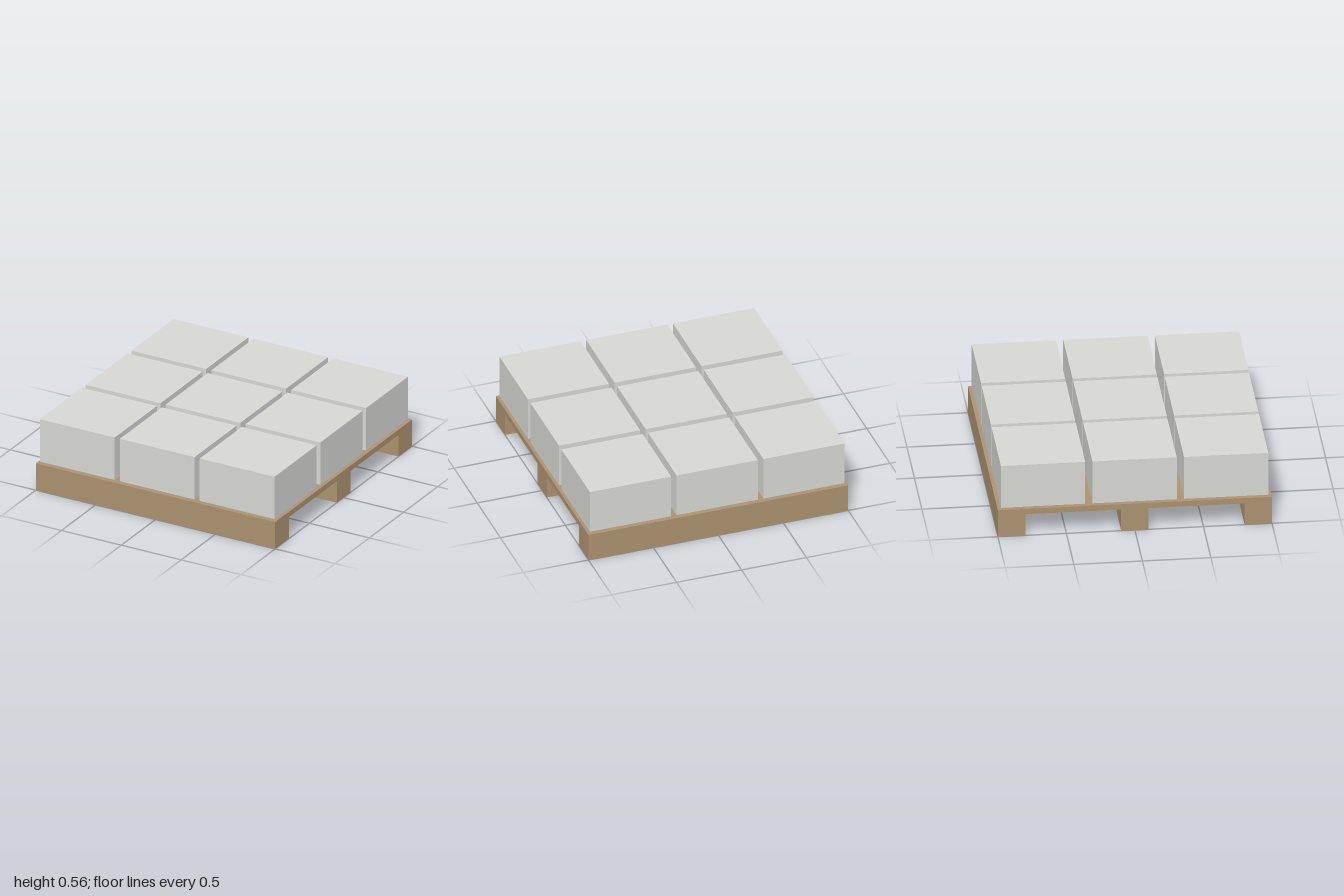
import * as THREE from 'three';

export function createModel() {
  const model = new THREE.Group();
  const wood = new THREE.MeshStandardMaterial({ color: 0xac9270 });
  const stone = new THREE.MeshStandardMaterial({ color: 0xd6d7d2 });

  // Box placed by its bottom height
  function addBox(parent, name, material, [w, h, d], x, bottom, z) {
    const mesh = new THREE.Mesh(new THREE.BoxGeometry(w, h, d), material);
    mesh.name = name;
    mesh.position.set(x, bottom + h / 2, z);
    parent.add(mesh);
  }

  // Pallet: flat deck on three runners
  const pallet = new THREE.Group();
  pallet.name = 'pallet';
  addBox(pallet, 'deck', wood, [2, 0.043, 2], 0, 0.172, 0);
  for (const z of [-0.9, 0, 0.9]) {
    addBox(pallet, 'runner', wood, [2, 0.172, 0.2], 0, 0, z);
  }

  // Load: 3 x 3 grid of blocks just above the deck
  const load = new THREE.Group();
  load.name = 'blocks';
  const pitch = 0.668;
  for (let row = -1; row <= 1; row++) {
    for (let col = -1; col <= 1; col++) {
      addBox(load, 'block', stone, [0.625, 0.34, 0.615], col * pitch, 0.224, row * pitch);
    }
  }

  model.add(pallet, load);
  return model;
}
